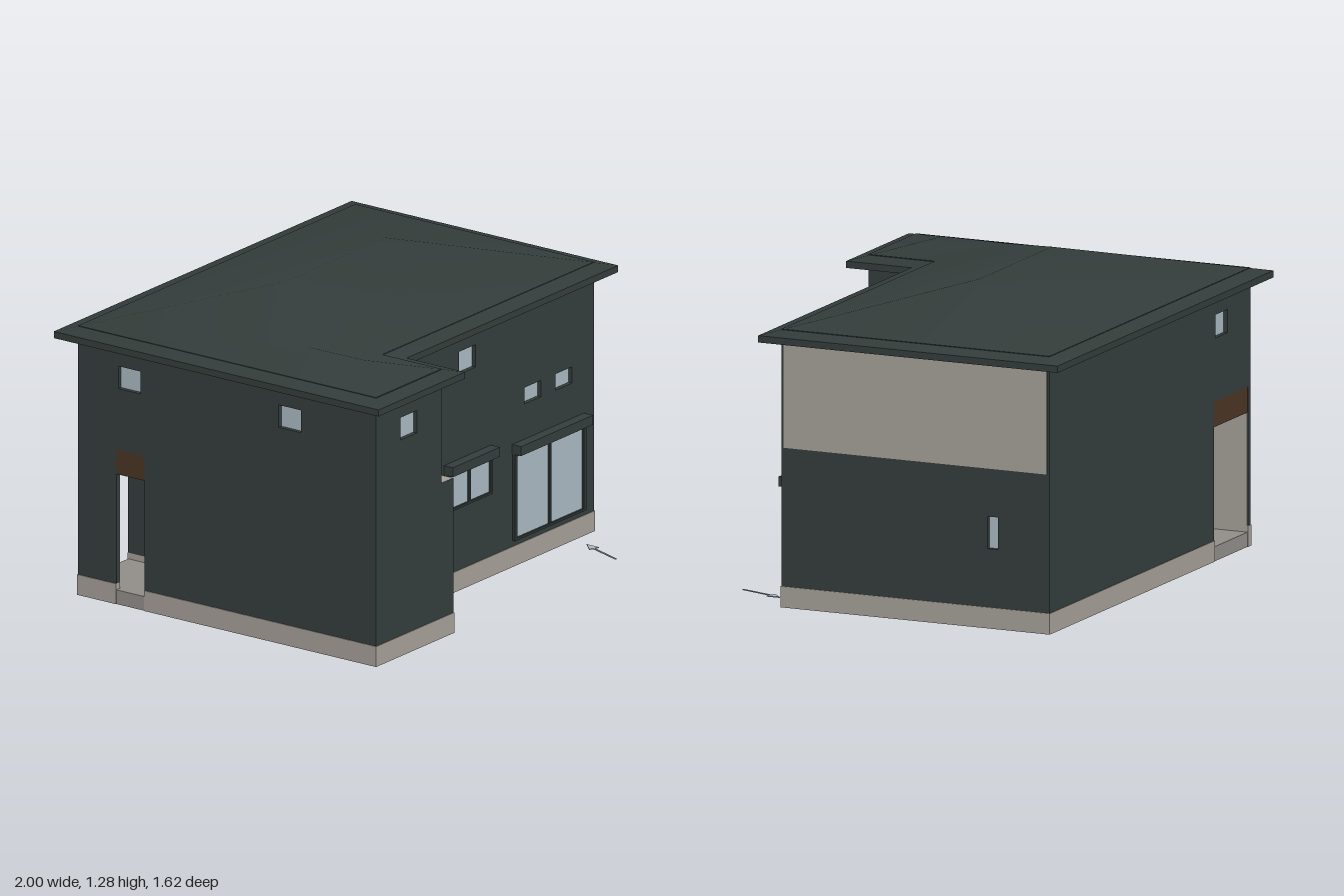
import * as THREE from 'three';
import { mergeVertices } from 'three/addons/utils/BufferGeometryUtils.js';

const mat = (name, color) => {
  const m = new THREE.MeshStandardMaterial({ color });
  m.name = name;
  return m;
};

export function createModel() {
  const M = {
    wall: mat('dark wall', 0x343c3c),
    roof: mat('roof', 0x333c3a),
    beige: mat('beige', 0xa49e97),
    glass: mat('glass', 0xa8b7c0),
    frame: mat('frame', 0x2d3434),
    wood: mat('brown', 0x4a3424),
    slab: mat('concrete', 0x908d88),
  };
  const house = new THREE.Group();
  house.name = 'house';

  const add = (name, geo, m, parent = house) => {
    const mesh = new THREE.Mesh(geo, m);
    mesh.name = name;
    parent.add(mesh);
    return mesh;
  };
  // Box given by its minimum and maximum corners
  const box = (name, m, x0, x1, y0, y1, z0, z1, parent) => {
    const g = new THREE.BoxGeometry(x1 - x0, y1 - y0, z1 - z0);
    g.translate((x0 + x1) / 2, (y0 + y1) / 2, (z0 + z1) / 2);
    return add(name, g, m, parent);
  };
  // Plan points are [x, z]; the plan is raised from y0 to y1
  const toVec = (pts) => pts.map(([x, z]) => new THREE.Vector2(x, -z));
  const raise = (name, m, pts, y0, y1, hole) => {
    const shape = new THREE.Shape(toVec(pts));
    if (hole) shape.holes.push(new THREE.Path(toVec(hole).reverse()));
    const g = new THREE.ExtrudeGeometry(shape, { depth: y1 - y0, bevelEnabled: false });
    g.rotateX(-Math.PI / 2).translate(0, y0, 0);
    return add(name, g, m);
  };
  // L-shaped plan inset by d; p is the inset of the porch notch, if there is one
  const plan = (d, wingX, p) => [
    ...(p === undefined
      ? [[-0.93 + d, -0.74 + d]]
      : [[-0.93 + d, -0.41 + p], [-0.595 + p, -0.41 + p], [-0.595 + p, -0.74 + d]]),
    [0.93 - d, -0.74 + d], [0.93 - d, 0.45 - d], [wingX - d, 0.45 - d],
    [wingX - d, 0.745 - d], [-0.93 + d, 0.745 - d],
  ];
  const low = 0.086, mid = 0.655, top = 1.14, quarter = Math.PI / 2;

  // Foundation ring and floor underside
  raise('foundation', M.beige, plan(-0.003, -0.41, 0), 0, low, plan(0.045, -0.41, 0.045));
  raise('floorUnderside', M.wood, plan(0.04, -0.41, 0.04), 0.074, 0.09);

  // Wall core, faced on each side by a panel with window openings
  const T = 0.022;
  raise('lowerCore', M.wall, plan(T, -0.41, 0), low, mid);
  raise('upperCore', M.wall, plan(T, -0.49), mid, 1.13);

  // Outline and openings [u0, u1, y0, y1] are drawn facing +z, then turned into place
  const facade = (name, angle, out, outline, openings = []) => {
    const g = new THREE.Group();
    g.name = name;
    const shape = new THREE.Shape(outline.map(([u, y]) => new THREE.Vector2(u, y)));
    for (const [a, b, c, d] of openings) {
      shape.holes.push(new THREE.Path([[a, c], [a, d], [b, d], [b, c]].map(([u, y]) => new THREE.Vector2(u, y))));
      box('windowGlass', M.glass, a, b, c, d, -T, -T + 0.004, g);
    }
    const geo = new THREE.ExtrudeGeometry(shape, { depth: T, bevelEnabled: false });
    add('wallPanel', geo.translate(0, 0, -T), M.wall, g);
    g.rotation.y = angle;
    g.position.set(Math.sin(angle) * out, 0, Math.cos(angle) * out);
    house.add(g);
  };
  const rect = (u0, u1, y0, y1) => [[u0, y0], [u1, y0], [u1, y1], [u0, y1]];
  facade('frontWall', 0, 0.45,
    [[-0.41, low], [0.93, low], [0.93, top], [-0.49, top], [-0.49, mid], [-0.41, mid]],
    [[0.025, 0.135, 0.914, 1.009], [-0.39, -0.28, 0.643, 0.838],
      [0.464, 0.576, 0.667, 0.736], [0.674, 0.785, 0.667, 0.736]]);
  facade('wingFrontWall', 0, 0.745,
    [[-0.93, low], [-0.41, low], [-0.41, mid], [-0.49, mid], [-0.49, top], [-0.93, top]],
    [[-0.765, -0.655, 0.914, 1.009]]);
  facade('rightWall', quarter, 0.93, rect(-0.45, 0.74, low, top), [[0.465, 0.512, 0.326, 0.458]]);
  facade('wingLowerSide', quarter, -0.41, rect(-0.745, -0.43, low, mid), [[-0.626, -0.541, 0.326, 0.458]]);
  facade('wingUpperSide', quarter, -0.49, rect(-0.745, -0.43, mid, top));
  facade('backWall', Math.PI, 0.74,
    [[-0.93, low], [0.595, low], [0.595, mid], [0.93, mid], [0.93, top], [-0.93, top]],
    [[0.608, 0.72, 0.914, 1.009]]);
  facade('leftWall', -quarter, 0.93,
    [[-0.41, low], [0.745, low], [0.745, top], [-0.74, top], [-0.74, mid], [-0.41, mid]],
    [[-0.54, -0.43, 0.914, 1.009], [0.26, 0.37, 0.914, 1.009]]);
  box('ledgeCap', M.beige, -0.49, -0.411, mid - 0.001, mid + 0.001, 0.45, 0.744);
  box('sidePanel', M.beige, 0.93, 0.934, mid, 1.1, -0.73, 0.438);

  // Corner porch
  box('porchCeiling', M.wood, -0.929, -0.595, 0.55, mid, -0.739, -0.41);
  box('porchSlab', M.slab, -0.93, -0.595, 0, 0.06, -0.74, -0.41);
  box('entranceSlab', M.slab, -0.88, -0.595, 0.01, 0.074, -0.41, -0.17);
  box('porchPier', M.wall, -0.93, -0.908, low, mid, -0.74, -0.55);
  box('porchPierLining', M.beige, -0.908, -0.904, 0.06, 0.55, -0.738, -0.55);
  box('porchPierBase', M.beige, -0.933, -0.905, 0, low, -0.743, -0.55);

  // Roof: eaves slab and a smooth hipped roof with a wing
  raise('eaves', M.roof, [[-1, -0.81], [1, -0.81], [1, 0.52], [-0.42, 0.52], [-0.42, 0.81], [-1, 0.81]], 1.092, 1.12);
  const e = 1.12;
  const [bl, br, fr] = [[-1, e, -0.81], [1, e, -0.81], [1, e, 0.52]];
  const [ra, rb] = [[-0.335, 1.285, -0.145], [0.335, 1.285, -0.145]];
  const [wl, wr, valley] = [[-1, e, 0.81], [-0.42, e, 0.81], [-0.42, e, 0.52]];
  const [wa, wb] = [[-0.71, 1.192, 0.52], [-0.71, 1.19, 0.24]];
  const corners = [];
  for (const f of [
    [valley, fr, rb, ra, wb], [bl, ra, rb, br], [fr, br, rb],
    [bl, wl, wa, wb, ra], [wl, wr, wa], [wr, valley, wb, wa],
  ])
    for (let i = 1; i < f.length - 1; i++) corners.push(...f[0], ...f[i], ...f[i + 1]);
  const hips = new THREE.BufferGeometry();
  hips.setAttribute('position', new THREE.Float32BufferAttribute(corners, 3));
  const hipped = mergeVertices(hips);
  hipped.computeVertexNormals();
  add('roof', hipped, M.roof);

  // Framed sliding windows with a shutter box above
  const slider = (name, u0, u1, y0, y1, boxTop) => {
    const g = new THREE.Group();
    g.name = name;
    const t = 0.015, d = 0.013, c = (u0 + u1) / 2;
    box('glass', M.glass, u0, u1, y0, y1, 0, 0.004, g);
    box('frameTop', M.frame, u0 - t, u1 + t, y1, boxTop - 0.04, 0, d, g);
    box('frameBottom', M.frame, u0 - t, u1 + t, y0 - 0.01, y0, 0, d, g);
    box('frameSide', M.frame, u0 - t, u0, y0, y1, 0, d, g);
    box('frameSide', M.frame, u1, u1 + t, y0, y1, 0, d, g);
    box('mullion', M.frame, c - 0.006, c + 0.006, y0, y1, 0, d, g);
    box('shutterBox', M.wall, u0 - 0.018, u1 + 0.018, boxTop - 0.04, boxTop, 0, 0.045, g);
    g.position.z = 0.45;
    house.add(g);
  };
  slider('kitchenWindow', -0.058, 0.222, 0.363, 0.502, 0.555);
  slider('patioDoor', 0.4, 0.847, 0.12, 0.465, 0.518);

  // Direction arrow lying on the ground
  raise('groundArrow', M.glass, [
    [0.699, 0.729], [0.749, 0.582], [0.732, 0.574], [0.775, 0.53],
    [0.775, 0.59], [0.756, 0.584], [0.705, 0.731],
  ], 0, 0.004);

  return house;
}
